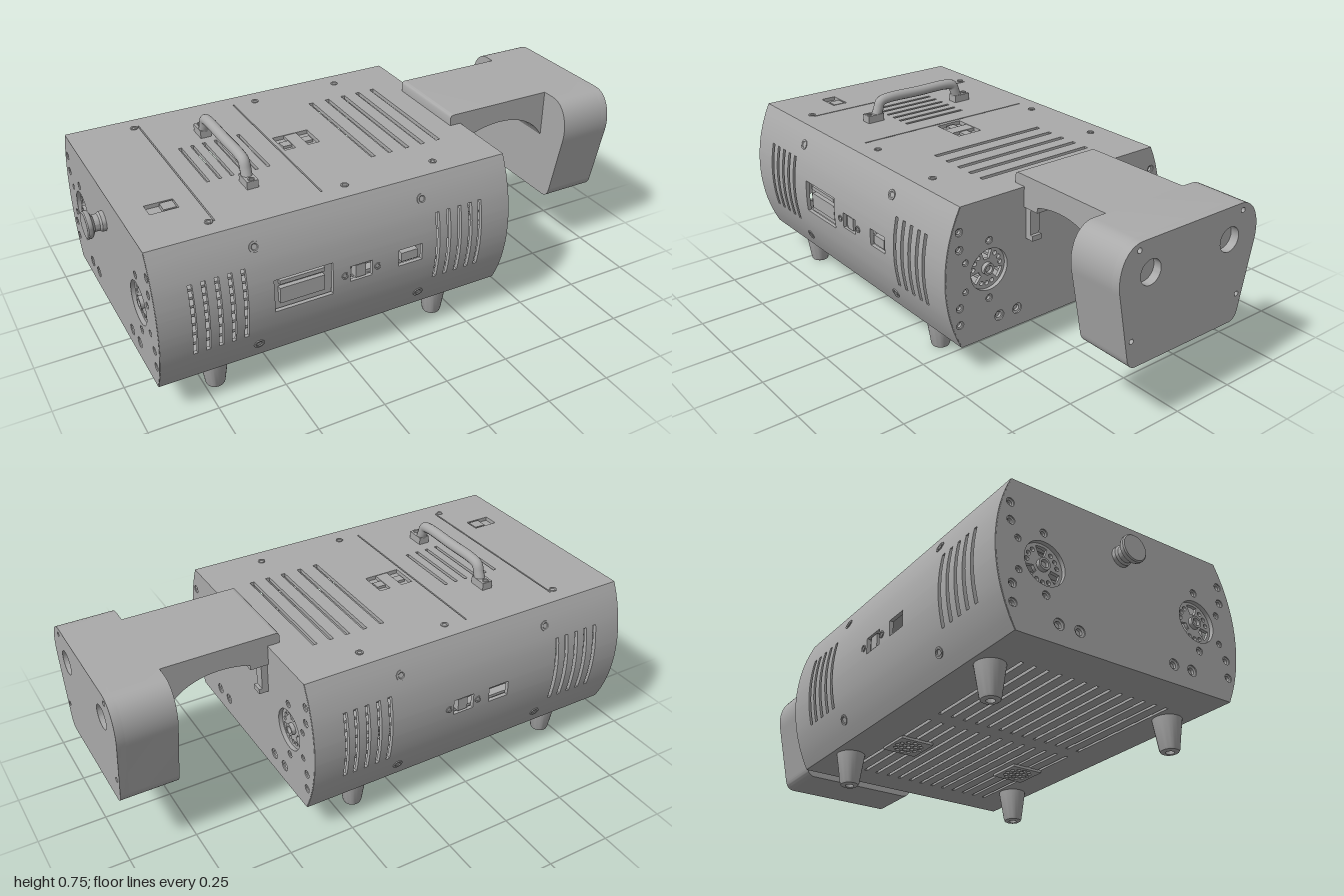
import * as THREE from 'three';
import { toCreasedNormals } from 'three/addons/utils/BufferGeometryUtils.js';

const gray = new THREE.MeshStandardMaterial({ color: 0xaaaaaa });
gray.name = 'body gray';

const X0 = -0.93, X1 = 0.4, Y0 = 0.12, Y1 = 0.65, ZT = 0.44, YM = 0.385;
// bulging side wall: z as a function of height
const arcZ = (y) => Math.sqrt(0.573 ** 2 - (y - YM) ** 2) - 0.068;

function add(parent, name, geo, x = 0, y = 0, z = 0) {
  const m = new THREE.Mesh(geo, gray);
  m.name = name;
  m.position.set(x, y, z);
  parent.add(m);
  return m;
}
const crease = (geo, a = 0.5) => toCreasedNormals(geo, a);
// box given by its ranges
const box = (parent, name, x0, x1, y0, y1, z0, z1) =>
  add(parent, name, new THREE.BoxGeometry(x1 - x0, y1 - y0, z1 - z0), (x0 + x1) / 2, (y0 + y1) / 2, (z0 + z1) / 2);
const lathe = (pts, seg = 24) => crease(new THREE.LatheGeometry(pts.map((p) => new THREE.Vector2(...p)), seg));
const circle = (x, y, r) => new THREE.Path().absarc(x, y, r, 0, Math.PI * 2, true);
const extrude = (shape, depth) => crease(new THREE.ExtrudeGeometry(shape, { depth, bevelEnabled: false, curveSegments: 16 }));
// extrusion along +x, shape drawn as (-z, y)
const extrudeX = (shape, depth) => extrude(shape, depth).rotateY(Math.PI / 2);

// shell panel on a (u, v) grid with rectangular openings [u0, u1, v0, v1]
function panel(u0, u1, v0, v1, holes, vSeg, map, t = 0.015) {
  const cuts = (list) => [...new Set(list.map((n) => +n.toFixed(4)))].sort((a, b) => a - b);
  const us = cuts([u0, u1, ...holes.flatMap((h) => [h[0], h[1]])]);
  const vs = cuts([v0, v1, ...holes.flatMap((h) => [h[2], h[3]]),
    ...Array.from({ length: vSeg - 1 }, (_, i) => v0 + ((v1 - v0) * (i + 1)) / vSeg)]);
  const solid = (i, j) => {
    if (i < 0 || j < 0 || i >= us.length - 1 || j >= vs.length - 1) return false;
    const u = (us[i] + us[i + 1]) / 2, v = (vs[j] + vs[j + 1]) / 2;
    return !holes.some((h) => u > h[0] && u < h[1] && v > h[2] && v < h[3]);
  };
  const pos = [];
  const quad = (a, b, c, d) => [a, b, c, a, c, d].forEach((p) => pos.push(...map(...p)));
  for (let i = 0; i < us.length - 1; i++) for (let j = 0; j < vs.length - 1; j++) {
    if (!solid(i, j)) continue;
    const c = [[us[i], vs[j]], [us[i + 1], vs[j]], [us[i + 1], vs[j + 1]], [us[i], vs[j + 1]]];
    const out = c.map((p) => [...p, 0]), inn = c.map((p) => [...p, t]);
    quad(...out);
    quad(inn[3], inn[2], inn[1], inn[0]);
    [[0, -1], [1, 0], [0, 1], [-1, 0]].forEach(([di, dj], k) => {
      const n = (k + 1) % 4;
      if (!solid(i + di, j + dj)) quad(inn[k], inn[n], out[n], out[k]);
    });
  }
  const g = new THREE.BufferGeometry();
  g.setAttribute('position', new THREE.Float32BufferAttribute(pos, 3));
  return crease(g);
}
const slots = (list, w, v0, v1) => list.map((u) => [u - w / 2, u + w / 2, v0, v1]);

// raised screw head and countersunk hole, both facing +y
const screwGeo = (r) => lathe([[r, -0.008], [r, 0.003], [r * 0.65, 0.003], [r * 0.5, 0.0005], [0, 0.0005]]);
const sinkGeo = (r) => lathe([[r, 0], [r, -0.004], [r * 0.6, -0.006], [r * 0.6, -0.016], [0, -0.016]]);

// curved side: slots, ports and screws, facing +z
function side(name, openings) {
  const g = new THREE.Group();
  g.name = name;
  const s = name === 'frontSide' ? 1 : -1;
  const vents = slots([-0.81, -0.765, -0.72, -0.675, -0.63, 0.1, 0.145, 0.19, 0.235, 0.275].map((x) => x * s), 0.015, 0.25, 0.52);
  const ends = [X0 * s, X1 * s].sort((a, b) => a - b);
  add(g, 'curvedPanel', panel(...ends, Y0, Y1, [...vents, ...openings], 14, (u, v, d) => [u, v, arcZ(v) - d]));
  for (const x of [-0.58, 0.045]) for (const y of [0.19, 0.58]) {
    const m = add(g, 'sideScrew', screwGeo(0.019), x * s, y, arcZ(y));
    m.rotation.x = Math.PI / 2 - Math.asin((y - YM) / 0.573);
  }
  // connector with two jack screws
  const cx = -0.207 * s;
  box(g, 'connectorBlock', cx - 0.02, cx + 0.02, 0.36, 0.41, 0.47, 0.5);
  for (const dx of [-0.063, 0.063]) add(g, 'jackScrew', screwGeo(0.013), cx + dx, YM, arcZ(YM)).rotation.x = Math.PI / 2;
  return g;
}

// end plate with bolt holes and two vent wheels, facing +x with its outer face on x = 0
function endPlate(name) {
  const g = new THREE.Group();
  g.name = name;
  const outline = new THREE.Shape();
  const N = 16, h = (i) => Y0 + ((Y1 - Y0) * i) / N;
  for (let i = 0; i <= N; i++) outline[i ? 'lineTo' : 'moveTo'](arcZ(h(i)) - 0.003, h(i));
  for (let i = N; i >= 0; i--) outline.lineTo(-arcZ(h(i)) + 0.003, h(i));
  const bolts = [[0.445, 0.56, 0.015], [0.445, 0.495, 0.015], [0.32, 0.495, 0.014], [0.42, 0.44, 0.012], [0.42, 0.33, 0.012],
    [0.32, 0.275, 0.014], [0.445, 0.275, 0.015], [0.445, 0.21, 0.015], [0.275, 0.19, 0.02], [0.195, 0.19, 0.02]];
  // wheel: three wide openings with small holes between
  const wheel = new THREE.Shape().absarc(0, 0, 0.081, 0, Math.PI * 2);
  for (let k = 0; k < 3; k++) {
    const a = Math.PI / 2 + (k * Math.PI * 2) / 3;
    const p = new THREE.Path().absarc(0, 0, 0.068, a - 0.33, a + 0.33, false);
    p.absarc(0, 0, 0.034, a + 0.3, a - 0.3, true);
    p.closePath();
    wheel.holes.push(p);
    for (const d of [-0.4, 0, 0.4]) wheel.holes.push(circle(0.058 * Math.cos(a + Math.PI / 3 + d), 0.058 * Math.sin(a + Math.PI / 3 + d), 0.008));
  }
  for (const s of [-1, 1]) {
    for (const [z, y, r] of bolts) {
      outline.holes.push(circle(z * s, y, r));
      add(g, 'boltHole', sinkGeo(r), 0, y, z * s).rotation.z = -Math.PI / 2;
    }
    outline.holes.push(circle(0.32 * s, YM, 0.078));
    add(g, 'ventWheel', extrudeX(wheel, 0.012), -0.027, YM, 0.32 * s);
    add(g, 'wheelHub', lathe([[0.022, 0], [0.022, 0.018], [0.014, 0.018], [0.012, 0.008], [0, 0.008]]), -0.018, YM, 0.32 * s).rotation.z = -Math.PI / 2;
  }
  add(g, 'plate', extrudeX(outline, 0.015), -0.015);
  return g;
}

export function createModel() {
  const model = new THREE.Group();
  model.name = 'instrument';

  // top cover: seams, vents, socket and switch openings (v = -z)
  const topHoles = [
    ...slots([-0.595, -0.55, -0.505, -0.46, -0.415, -0.37], 0.012, -0.13, 0.14),
    ...slots([-0.015, 0.055, 0.125, 0.19, 0.255], 0.017, -0.24, 0.25),
    ...slots([-0.67, -0.287], 0.005, -0.37, 0.38),
    [-0.27, -0.13, -0.05, 0.055], [-0.84, -0.74, -0.24, -0.18]];
  add(model, 'topCover', panel(X0, X1, -ZT, ZT, topHoles, 1, (u, v, d) => [u, Y1 - d, -v]));
  for (const x of [-0.69, -0.2, 0.15]) for (const z of [-0.37, 0.37]) add(model, 'topScrew', screwGeo(0.014), x, Y1, z);
  box(model, 'socketFloor', -0.28, -0.12, 0.615, 0.635, -0.065, 0.06);
  box(model, 'socketBar', -0.225, -0.175, 0.63, 0.648, -0.055, 0.05);
  box(model, 'socketCross', -0.26, -0.14, 0.63, 0.645, -0.02, 0.015);
  box(model, 'switchFloor', -0.85, -0.73, 0.615, 0.635, 0.17, 0.25);
  box(model, 'switchKey', -0.79, -0.745, 0.63, 0.65, 0.187, 0.233);

  // bottom cover with long slots and two fan grilles
  const bottomHoles = [-0.245, 0.245].map((z) => [-0.08, 0.025, z - 0.05, z + 0.05]);
  for (let i = -6; i <= 6; i++) bottomHoles.push(
    [-0.78, -0.32, i * 0.05 - 0.006, i * 0.05 + 0.006], [-0.26, 0.28, i * 0.05 - 0.006, i * 0.05 + 0.006]);
  add(model, 'bottomCover', panel(X0, X1, -ZT, ZT, bottomHoles, 1, (u, v, d) => [u, Y0 + d, v]));
  const grille = new THREE.Shape([[-1, -1], [1, -1], [1, 1], [-1, 1]].map(([a, b]) => new THREE.Vector2(a * 0.065, b * 0.065)));
  for (const [n, r, s] of [[12, 0.046, 0.008], [6, 0.025, 0.008], [1, 0, 0.009]])
    for (let i = 0; i < n; i++) grille.holes.push(circle(r * Math.cos((i * 6.2832) / n), r * Math.sin((i * 6.2832) / n), s));
  for (const z of [-0.245, 0.245]) add(model, 'fanGrille', extrude(grille, 0.011).rotateX(Math.PI / 2), -0.027, 0.122, z);

  // tapered feet with a hollow underneath
  const foot = lathe([[0, 0.02], [0.015, 0.02], [0.015, 0], [0.027, 0], [0.032, 0.003], [0.035, 0.01], [0.052, 0.122], [0, 0.122]], 28);
  for (const x of [-0.71, 0.175]) for (const z of [-0.37, 0.37]) add(model, 'foot', foot, x, 0, z);

  // curved sides
  const front = side('frontSide', [[-0.53, -0.315, 0.325, 0.45], [-0.25, -0.165, 0.355, 0.415], [-0.06, 0.035, 0.355, 0.42]]);
  box(front, 'displayFloor', -0.54, -0.305, 0.315, 0.46, 0.455, 0.475);
  box(front, 'displayFrame', -0.505, -0.34, 0.345, 0.405, 0.47, 0.492);
  box(front, 'displayBar', -0.505, -0.34, 0.42, 0.435, 0.47, 0.492);
  box(front, 'portFloor', -0.07, 0.045, 0.345, 0.43, 0.455, 0.475);
  box(front, 'portTongue', -0.045, 0.02, 0.365, 0.4, 0.47, 0.498);
  const back = side('backSide', [[0.165, 0.25, 0.355, 0.415], [0.32, 0.405, 0.355, 0.415]]);
  back.rotation.y = Math.PI;
  model.add(front, back);

  // end plates
  const right = endPlate('headEnd'), left = endPlate('knobEnd');
  right.position.x = X1 + 0.001;
  left.position.x = X0 - 0.001;
  left.rotation.y = Math.PI;
  model.add(right, left);

  // knob
  add(model, 'knob', lathe([[0.036, 0], [0.036, 0.015], [0.03, 0.022], [0.03, 0.04], [0.047, 0.05], [0.05, 0.056], [0.05, 0.066], [0.046, 0.07], [0, 0.07]], 32),
    X0, 0.52, -0.005).rotation.z = Math.PI / 2;

  // carrying handle
  const path = new THREE.CatmullRomCurve3([[0.2, 0.66], [0.187, 0.695], [0.175, 0.722], [0.145, 0.73], [0, 0.73], [-0.145, 0.73], [-0.175, 0.722], [-0.187, 0.695], [-0.2, 0.66]]
    .map(([z, y]) => new THREE.Vector3(-0.48, y, z)), false, 'centripetal');
  add(model, 'handle', new THREE.TubeGeometry(path, 60, 0.02, 14));
  for (const s of [-1, 1]) {
    add(model, 'handleFoot', new THREE.BoxGeometry(0.042, 0.03, 0.07), -0.48, 0.664, s * 0.21);
    add(model, 'handleScrew', screwGeo(0.012), -0.48, 0.679, s * 0.232);
  }

  // arm arching from the body to the head
  const arm = new THREE.Shape();
  arm.moveTo(0.355, 0.651);
  arm.lineTo(0.401, 0.651);
  arm.lineTo(0.401, 0.575);
  arm.lineTo(0.47, 0.575);
  arm.lineTo(0.47, 0.595);
  arm.bezierCurveTo(0.58, 0.63, 0.73, 0.62, 0.795, 0.5);
  arm.lineTo(0.795, 0.692);
  arm.lineTo(0.37, 0.692);
  arm.quadraticCurveTo(0.355, 0.692, 0.355, 0.68);
  add(model, 'arm', extrude(arm, 0.35), 0, 0, -0.18);
  for (const z of [-0.15, 0.14]) {
    box(model, 'armHook', 0.4, 0.425, 0.46, 0.58, z - 0.02, z + 0.02);
    box(model, 'armHookLip', 0.4, 0.437, 0.455, 0.475, z - 0.02, z + 0.02);
  }

  // head: solid block with a holed face plate
  const headShape = () => {
    const s = new THREE.Shape();
    s.moveTo(-0.22, 0.26);
    s.lineTo(0.22, 0.26);
    s.quadraticCurveTo(0.25, 0.262, 0.257, 0.3);
    s.lineTo(0.303, 0.53);
    s.bezierCurveTo(0.323, 0.61, 0.29, 0.692, 0.22, 0.692);
    s.lineTo(-0.22, 0.692);
    s.bezierCurveTo(-0.29, 0.692, -0.323, 0.61, -0.303, 0.53);
    s.lineTo(-0.257, 0.3);
    s.quadraticCurveTo(-0.25, 0.262, -0.22, 0.26);
    return s;
  };
  add(model, 'headBlock', extrudeX(headShape(), 0.18), 0.79);
  const face = headShape();
  for (const s of [-1, 1]) face.holes.push(circle(0.178 * s, 0.577, 0.044), circle(0.232 * s, 0.665, 0.009), circle(0.243 * s, 0.36, 0.009));
  add(model, 'headFace', extrudeX(face, 0.03), 0.97);
  return model;
}
